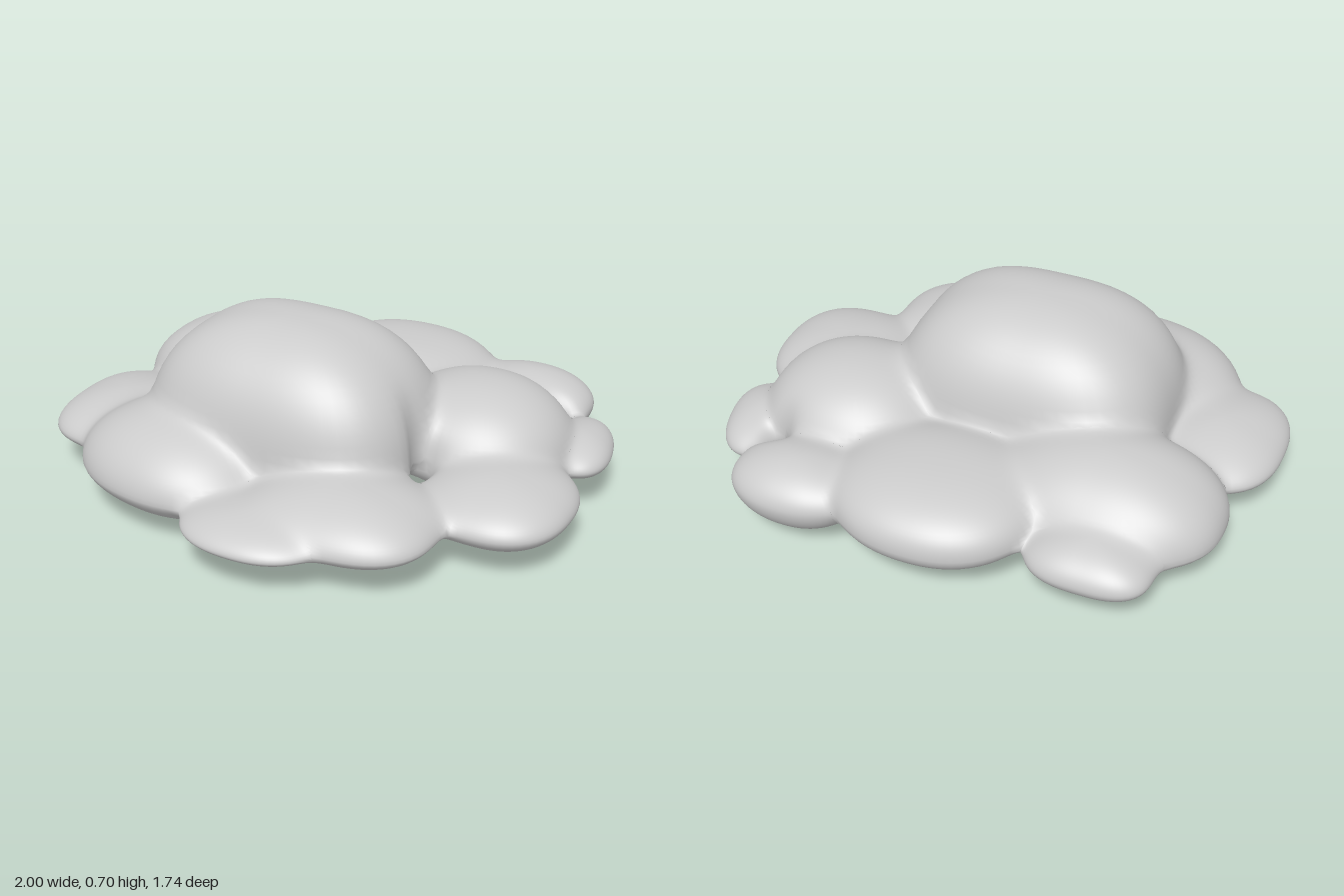
import * as THREE from 'three';
import { mergeVertices } from 'three/addons/utils/BufferGeometryUtils.js';

// Each puff: name, centre x/z, radii x/z, seam height, top, bottom, plan squareness n
// (2 = ellipse), roundness of the upper and lower profile, turn about y
const PUFFS = [
  ['centreDome', -0.085, 0.1, 0.52, 0.39, 0.25, 0.7, 0.0, 2.9, 2.35, 1.35, 0],
  ['frontRightPuff', -0.38, 0.41, 0.38, 0.31, 0.18, 0.39, 0.01, 2.2, 1.9, 1.55, -0.2],
  ['rightPuff', -0.76, 0.18, 0.24, 0.29, 0.18, 0.29, 0.08, 2.5, 1.8, 1.7, 0],
  ['backRightPuff', -0.49, -0.31, 0.43, 0.3, 0.19, 0.43, 0.04, 2.4, 1.95, 1.6, 0],
  ['backRightCorner', -0.55, -0.62, 0.22, 0.15, 0.19, 0.29, 0.1, 2.8, 1.9, 1.8, 0],
  ['backPuff', 0.04, -0.55, 0.37, 0.32, 0.22, 0.38, 0.06, 2.2, 2.3, 1.8, 0],
  ['backLeftCorner', 0.54, -0.64, 0.245, 0.18, 0.2, 0.32, 0.04, 2.2, 1.9, 1.8, 0],
  ['smallLeftPuff', 0.845, -0.37, 0.12, 0.2, 0.18, 0.26, 0.11, 2.3, 1.85, 1.8, 0.25],
  ['backLeftPuff', 0.51, -0.21, 0.345, 0.32, 0.2, 0.455, 0.05, 2.1, 2.1, 1.65, 0],
  ['leftPuff', 0.73, 0.12, 0.27, 0.28, 0.18, 0.3, 0.06, 2.4, 1.85, 1.75, 0],
  ['frontLeftPuff', 0.31, 0.47, 0.35, 0.27, 0.18, 0.32, 0.07, 2.5, 1.85, 1.65, 0],
  ['frontPuff', 0.08, 0.67, 0.26, 0.195, 0.17, 0.25, 0.11, 2.3, 1.8, 1.8, 0],
].map(([name, cx, cz, rx, rz, mid, top, bottom, n, upper, lower, turn]) => ({
  name, cx, cz, rx, rz, mid, top, bottom, n, upper, lower, c: Math.cos(turn), s: Math.sin(turn),
}));

// Small gaps through the cloud: x, z, radius, strength
const GAPS = [[0.44, 0.135, 0.05, 0.035], [0.705, -0.495, 0.055, 0.045]];

const BLEND = 0.025; // softness of the creases between puffs

// 1 on the unit puff surface, below 1 inside
function level(p, u, t, v) {
  const plan = Math.pow(Math.abs(u) ** p.n + Math.abs(v) ** p.n, 1 / p.n);
  const m = t > 0 ? p.upper : p.lower;
  return Math.pow(plan ** m + Math.abs(t) ** m, 1 / m);
}

// Approximate distance from a point to a puff
function distanceTo(p, x, y, z) {
  const dx = x - p.cx, dy = y - p.mid, dz = z - p.cz;
  const u = (dx * p.c - dz * p.s) / p.rx;
  const v = (dx * p.s + dz * p.c) / p.rz;
  const f = level(p, u, dy / (dy > 0 ? p.top - p.mid : p.mid - p.bottom), v);
  return f < 1e-4 ? -0.2 : (f - 1) / f * Math.hypot(dx, dy, dz);
}

// All puffs melted together, with the gaps pressed in
function cloudField(x, y, z) {
  let sum = 0;
  for (const p of PUFFS) sum += Math.exp(-distanceTo(p, x, y, z) / BLEND);
  let f = -BLEND * Math.log(sum + 1e-30);
  for (const [gx, gz, r, strength] of GAPS) {
    f += strength * Math.exp(-((x - gx) ** 2 + (z - gz) ** 2) / (r * r));
  }
  return f;
}

function gradient(x, y, z) {
  const e = 0.004;
  return new THREE.Vector3(
    cloudField(x + e, y, z) - cloudField(x - e, y, z),
    cloudField(x, y + e, z) - cloudField(x, y - e, z),
    cloudField(x, y, z + e) - cloudField(x, y, z - e)
  ).divideScalar(2 * e);
}

function puffGeometry(p) {
  const sphere = new THREE.SphereGeometry(1, 64, 40);
  sphere.deleteAttribute('uv');
  sphere.deleteAttribute('normal');
  const geo = mergeVertices(sphere, 1e-5);
  const pos = geo.attributes.position;
  const normals = [];
  const point = new THREE.Vector3();

  for (let i = 0; i < pos.count; i++) {
    // Shape the sphere into a squarish, lopsided cushion
    const x = pos.getX(i), y = pos.getY(i), z = pos.getZ(i);
    const f = level(p, x, y, z);
    const u = x / f * p.rx, v = z / f * p.rz;
    const h = y > 0 ? p.top - p.mid : p.mid - p.bottom;
    point.set(p.cx + u * p.c + v * p.s, p.mid + y / f * h, p.cz - u * p.s + v * p.c);

    // Pull the skin onto the melted surface, leaving hidden parts inside
    const hidden = PUFFS.some(q => q !== p && distanceTo(q, point.x, point.y, point.z) < -0.08);
    for (let k = 0; k < 4 && !hidden; k++) {
      const g = gradient(point.x, point.y, point.z);
      const step = -cloudField(point.x, point.y, point.z) / Math.max(g.lengthSq(), 0.3);
      point.addScaledVector(g, THREE.MathUtils.clamp(step, -0.03, 0.03));
    }
    pos.setXYZ(i, point.x, point.y, point.z);
    normals.push(...gradient(point.x, point.y, point.z).normalize().toArray());
  }
  geo.setAttribute('normal', new THREE.Float32BufferAttribute(normals, 3));
  return geo;
}

export function createModel() {
  const cloud = new THREE.Group();
  cloud.name = 'cloud';
  const material = new THREE.MeshStandardMaterial({ color: 0xcccccc });
  for (const p of PUFFS) {
    const mesh = new THREE.Mesh(puffGeometry(p), material);
    mesh.name = p.name;
    cloud.add(mesh);
  }
  return cloud;
}
